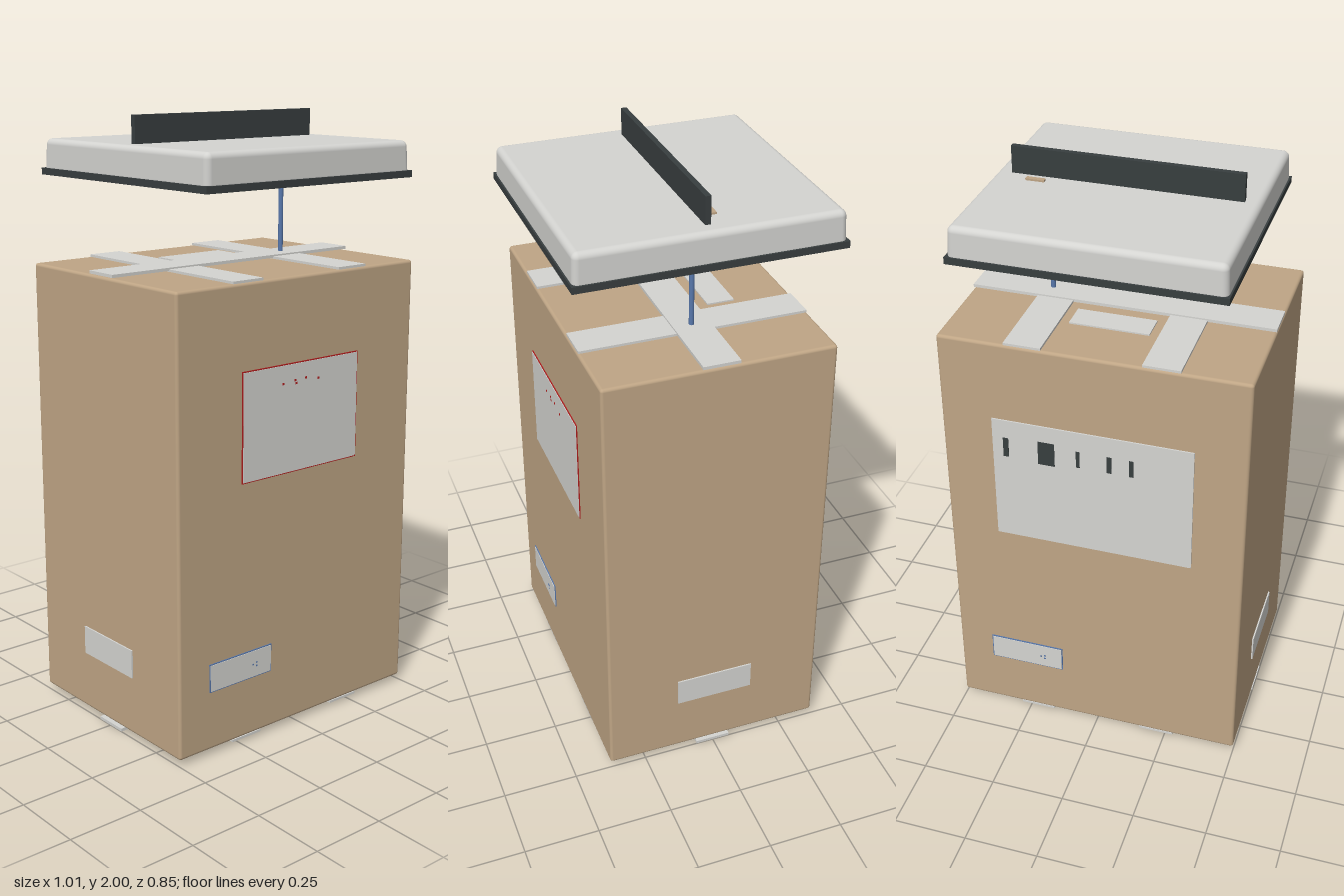
import * as THREE from 'three';
import { RoundedBoxGeometry } from 'three/addons/geometries/RoundedBoxGeometry.js';

const material = (name, color) => {
  const m = new THREE.MeshStandardMaterial({ color });
  m.name = name;
  return m;
};

export function createModel() {
  const cardboard = material('cardboard', 0xbfa585);
  const pale = material('paleGrey', 0xd4d4d1);
  const dark = material('charcoal', 0x383e3f);
  const red = material('red', 0xb01c1c);
  const blue = material('blue', 0x5878ac);

  const W = 1, D = 0.75, BOTTOM = 0.02, TOP = 1.515;
  const model = new THREE.Group();
  model.name = 'packedBox';

  const add = (parent, name, geometry, mat, x, y, z) => {
    const mesh = new THREE.Mesh(geometry, mat);
    mesh.name = name;
    mesh.position.set(x, y, z);
    parent.add(mesh);
    return mesh;
  };
  const box = (parent, name, mat, w, h, d, x, y, z) =>
    add(parent, name, new THREE.BoxGeometry(w, h, d), mat, x, y, z);

  // Carton
  add(model, 'carton', new RoundedBoxGeometry(W, TOP - BOTTOM, D, 3, 0.01), cardboard,
    0, (TOP + BOTTOM) / 2, 0);

  // Crossed tape and a small label on the top and underside
  for (const [side, face, dir] of [['top', TOP, 1], ['bottom', BOTTOM, -1]]) {
    for (const x of [-0.22, 0.22]) {
      box(model, side + 'CrossTape', pale, 0.12, 0.008, D - 0.006, x, face + dir * 0.004, 0);
    }
    box(model, side + 'LongTape', pale, W, 0.01, 0.12, 0, face + dir * (dir > 0 ? 0.008 : 0.015), 0);
    box(model, side + 'Label', pale, 0.26, 0.005, 0.09, 0, face + dir * 0.0025, -0.145);
  }

  // A side panel group: local x runs along the face, local z points outward
  const panel = (name, angle, distance) => {
    const g = new THREE.Group();
    g.name = name;
    g.rotation.y = angle;
    g.position.set(Math.sin(angle) * distance, 0, Math.cos(angle) * distance);
    model.add(g);
    return g;
  };
  // Label with an optional coloured border plate behind it
  const label = (parent, name, x, y, w, h, border) => {
    if (border) box(parent, name + 'Border', border, w, h, 0.003, x, y, 0.0015);
    const inset = border ? 0.007 : 0;
    box(parent, name, pale, w - inset, h - inset, 0.005, x, y, 0.0025);
  };
  const front = panel('frontLabels', 0, D / 2);
  const back = panel('backLabels', Math.PI, D / 2);
  const left = panel('leftLabels', Math.PI / 2, W / 2);
  const right = panel('rightLabels', -Math.PI / 2, W / 2);

  label(front, 'mainLabel', 0, 1.063, 0.495, 0.358, red);
  label(back, 'largeLabel', 0, 1.018, 0.66, 0.45);
  for (const p of [front, back]) {
    label(p, 'smallLabel', -0.25, 0.267, 0.26, 0.096, blue);
    for (const [x, y] of [[-0.2, 0.265], [-0.185, 0.27], [-0.185, 0.258]]) {
      box(p, 'blueSpeck', blue, 0.007, 0.005, 0.001, x, y, 0.0055);
    }
  }
  for (const p of [left, right]) label(p, 'sideLabel', 0, 0.267, 0.264, 0.096);

  // Printed specks on the front label, dark bars on the back one
  for (const [x, y] of [[-0.08, 1.18], [-0.03, 1.185], [-0.025, 1.175], [0.015, 1.187], [0.07, 1.178]]) {
    box(front, 'redSpeck', red, 0.008, 0.007, 0.001, x, y, 0.0055);
  }
  for (const [x, w, h] of [[-0.285, 0.018, 0.07], [-0.15, 0.055, 0.085], [-0.045, 0.012, 0.06],
    [0.058, 0.015, 0.06], [0.13, 0.014, 0.06]]) {
    box(back, 'darkBar', dark, w, h, 0.002, x, 1.143, 0.006);
  }

  // Thin rod standing on the carton
  add(model, 'rod', new THREE.CylinderGeometry(0.008, 0.008, 0.245, 16), blue, 0.247, 1.6425, 0);

  // Lid floating above, tapering slightly upwards
  const lid = new THREE.Group();
  lid.name = 'lid';
  model.add(lid);
  const shell = new RoundedBoxGeometry(0.845, 0.112, 0.845, 4, 0.02);
  const p = shell.attributes.position;
  for (let i = 0; i < p.count; i++) {
    const s = 1 - 0.1 * (p.getY(i) + 0.056);
    p.setX(i, p.getX(i) * s);
    p.setZ(i, p.getZ(i) * s);
  }
  add(lid, 'lidShell', shell, pale, 0, 1.856, 0);
  box(lid, 'lidBase', pale, 0.82, 0.015, 0.82, 0, 1.8055, 0);

  // Dark rim around the lid's lower edge
  for (const s of [-1, 1]) {
    box(lid, 'rimLong', dark, 0.854, 0.022, 0.018, 0, 1.806, s * 0.418);
    box(lid, 'rimShort', dark, 0.018, 0.022, 0.818, s * 0.418, 1.806, 0);
  }

  // Handle bar and small tag on the lid
  box(lid, 'handle', dark, 0.735, 0.092, 0.018, 0, 1.954, 0);
  box(lid, 'tag', cardboard, 0.06, 0.008, 0.017, 0.279, 1.914, -0.042);

  return model;
}
